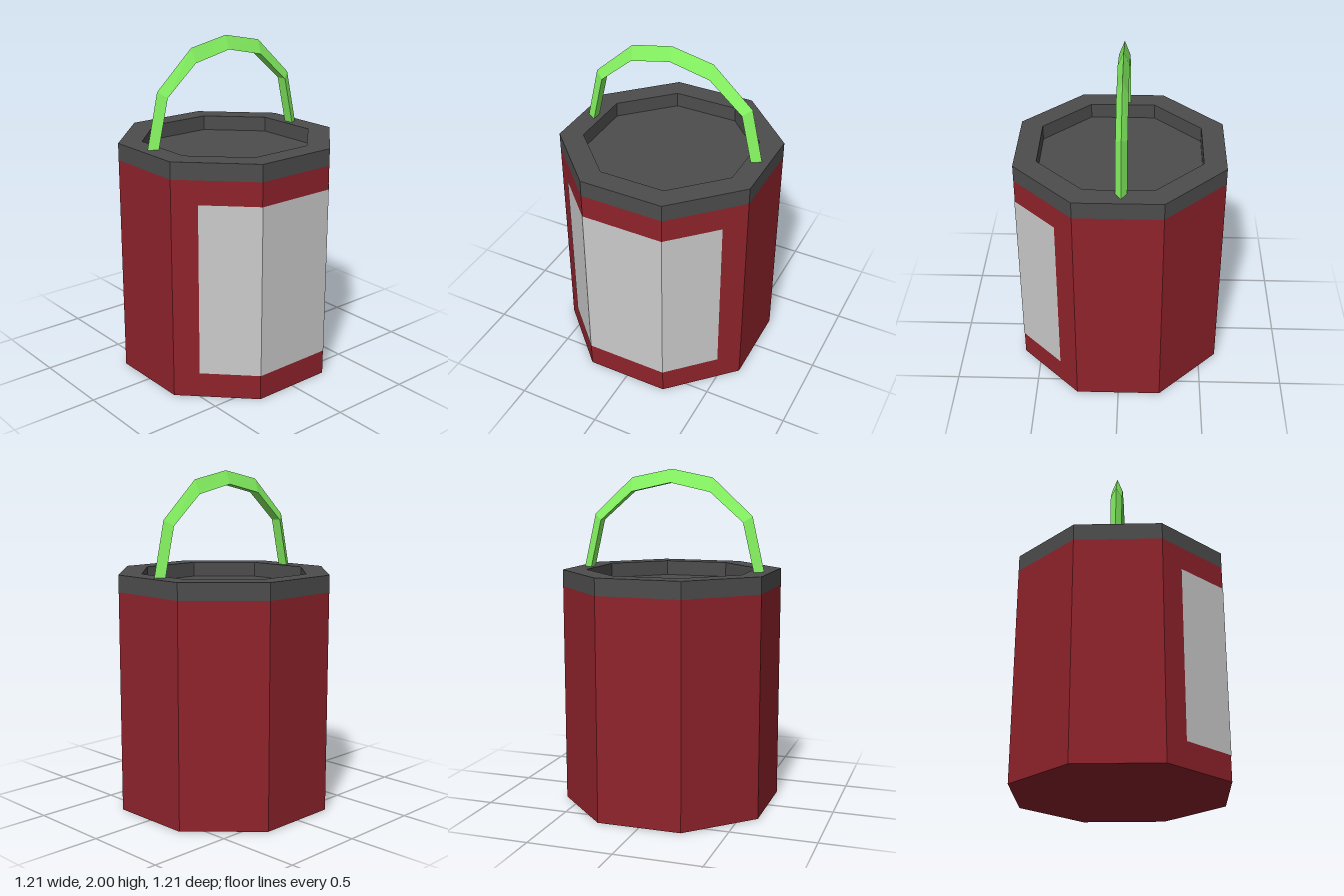
import * as THREE from 'three';

const SIDES = 8, TURN = Math.PI / 8;
const R = 0.605 / Math.cos(TURN);       // outer corner radius
const R_IN = 0.475 / Math.cos(TURN);    // recess corner radius
const BODY_TOP = 1.31, TOP = 1.41, RECESS = 1.32;

function part(name, geometry, color, side = THREE.FrontSide) {
  const material = new THREE.MeshStandardMaterial({ color, flatShading: true, side });
  const mesh = new THREE.Mesh(geometry, material);
  mesh.name = name;
  return mesh;
}

// Lid: raised rim around a sunken octagonal panel
function lidGeometry() {
  const profile = [[R, BODY_TOP], [R, TOP], [R_IN, TOP], [R_IN, RECESS], [0, RECESS]];
  return new THREE.LatheGeometry(profile.map(([x, y]) => new THREE.Vector2(x, y)), SIDES, TURN);
}

// Label: a strip folded around the left side
function labelGeometry() {
  const fold = [[0.355, 0.5], [0.605, 0.25], [0.605, -0.25], [0.355, -0.5]];
  const geometry = new THREE.PlaneGeometry(1, 1, 3, 1);
  const pos = geometry.attributes.position;
  for (let i = 0; i < pos.count; i++) {
    const [x, z] = fold[i % 4];
    pos.setXYZ(i, x + 0.003, i < 4 ? 1.17 : 0.15, z);
  }
  geometry.computeVertexNormals();
  return geometry;
}

// Handle: triangular section with its ridge outward, swept over an arch
function handleGeometry() {
  const x0 = -0.015, w = 0.033;
  // [ridge z, ridge y, inner z, inner y] from the foot to the crown
  const half = [
    [0.565, 1.405, 0.51, 1.405],
    [0.49, 1.73, 0.442, 1.695],
    [0.25, 1.95, 0.243, 1.867],
    [0, 2, 0, 1.92],
  ];
  const mirrored = half.slice(0, 3).reverse().map(([a, b, c, d]) => [-a, b, -c, d]);
  const rings = [...half, ...mirrored].map(([oz, oy, iz, iy]) => [
    [x0, oy, oz], [x0 + w, iy, iz], [x0 - w, iy, iz],
  ]);
  const verts = [];
  for (let i = 0; i < rings.length - 1; i++) {
    for (let k = 0; k < 3; k++) {
      const n = (k + 1) % 3;
      const a = rings[i][k], b = rings[i][n], c = rings[i + 1][k], d = rings[i + 1][n];
      verts.push(...a, ...b, ...c, ...b, ...d, ...c);
    }
  }
  const geometry = new THREE.BufferGeometry();
  geometry.setAttribute('position', new THREE.Float32BufferAttribute(verts, 3));
  geometry.computeVertexNormals();
  return geometry;
}

export function createModel() {
  const group = new THREE.Group();
  group.name = 'canister';

  const bodyGeometry = new THREE.CylinderGeometry(R, R, BODY_TOP, SIDES, 1, false, TURN);
  bodyGeometry.translate(0, BODY_TOP / 2, 0);

  group.add(
    part('body', bodyGeometry, 0x8f232b),
    part('lid', lidGeometry(), 0x4d4d4d),
    part('label', labelGeometry(), 0xcccccc, THREE.DoubleSide),
    part('handle', handleGeometry(), 0x86f562),
  );
  return group;
}
